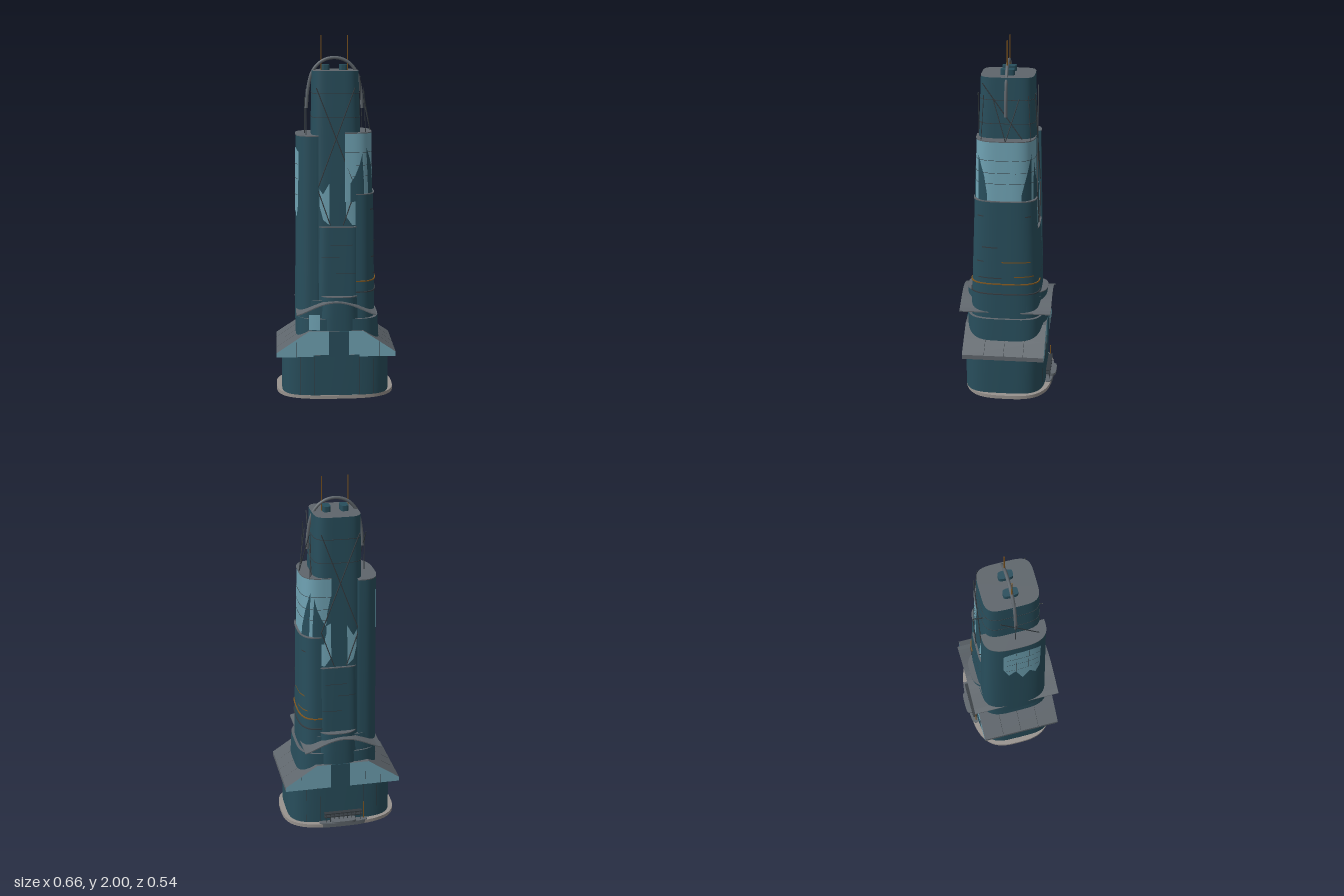
import * as THREE from 'three';

const mat = (name, color, side = THREE.FrontSide) => {
  const m = new THREE.MeshStandardMaterial({ color, side });
  m.name = name;
  return m;
};

export function createModel() {
  const root = new THREE.Group();
  root.name = 'tower';
  const teal = mat('dark teal cladding', 0x284e5c, THREE.DoubleSide);
  const glass = mat('pale glass', 0x6fa2b3, THREE.DoubleSide);
  const grey = mat('roof grey', 0x5e656b);
  const steel = mat('dark steel', 0x343b40);
  const bronze = mat('bronze', 0x80561f);
  const stone = mat('pale stone', 0x97928e);

  const add = (name, geo, m, x = 0, y = 0, z = 0) => {
    const mesh = new THREE.Mesh(geo, m);
    mesh.name = name;
    mesh.position.set(x, y, z);
    root.add(mesh);
    return mesh;
  };
  const box = (name, m, x0, x1, y0, y1, z0, z1) =>
    add(name, new THREE.BoxGeometry(x1 - x0, y1 - y0, z1 - z0), m, (x0 + x1) / 2, (y0 + y1) / 2, (z0 + z1) / 2);
  const rod = (name, a, b, r, m) => {
    const A = new THREE.Vector3(...a), d = new THREE.Vector3(...b).sub(A);
    const mesh = add(name, new THREE.CylinderGeometry(r, r, d.length(), 6), m);
    mesh.position.copy(A).addScaledVector(d, 0.5);
    mesh.quaternion.setFromUnitVectors(new THREE.Vector3(0, 1, 0), d.normalize());
  };
  const surface = (pos, idx) => {
    const g = new THREE.BufferGeometry();
    g.setAttribute('position', new THREE.Float32BufferAttribute(pos, 3));
    g.setIndex(idx);
    g.computeVertexNormals();
    return g;
  };

  // A shaft is a list of levels [y, x0, x1, z0, z1]; its plan is a rounded square of power n, cut off at x = lo and hi
  const SEG = 64;
  const plan = (n, lo = -1, hi = 1) => ({ n, lo, hi });
  const ring = ([y, x0, x1, z0, z1], { n, lo, hi }, grow = 0) => {
    const out = [];
    for (let i = 0; i < SEG; i++) {
      const t = (i / SEG) * Math.PI * 2, c = Math.cos(t), s = Math.sin(t);
      const x = (x0 + x1) / 2 + ((x1 - x0) / 2 + grow) * Math.sign(c) * Math.abs(c) ** (2 / n);
      const z = (z0 + z1) / 2 + ((z1 - z0) / 2 + grow) * Math.sign(s) * Math.abs(s) ** (2 / n);
      out.push(Math.min(hi, Math.max(lo, x)), y, z);
    }
    return out;
  };
  const sides = (levels, p, grow) => {
    const pos = levels.flatMap(l => ring(l, p, grow)), idx = [];
    for (let j = 0; j < levels.length - 1; j++) for (let i = 0; i < SEG; i++) {
      const a = j * SEG + i, b = j * SEG + (i + 1) % SEG;
      idx.push(a, a + SEG, b, b, a + SEG, b + SEG);
    }
    return surface(pos, idx);
  };
  const cap = (level, p, grow, up) => {
    const [y, x0, x1, z0, z1] = level, idx = [];
    const pos = [...ring(level, p, grow), (x0 + x1) / 2, y, (z0 + z1) / 2];
    for (let i = 0; i < SEG; i++) {
      const k = (i + 1) % SEG;
      idx.push(SEG, up ? k : i, up ? i : k);
    }
    return surface(pos, idx);
  };
  const levelAt = (levels, y) => {
    let j = 0;
    while (j < levels.length - 2 && y > levels[j + 1][0]) j++;
    const a = levels[j], b = levels[j + 1], t = (y - a[0]) / (b[0] - a[0]);
    return a.map((v, i) => v + (b[i] - v) * t);
  };
  const shaft = (name, levels, p, m, topMat = grey) => {
    add(name, sides(levels, p, 0), m);
    add(name + 'Top', cap(levels.at(-1), p, 0, true), topMat);
    return { levels, p };
  };
  // Thin floor line or ledge around a shaft
  const belt = (name, s, y, m, grow = 0.0025, h = 0.005) => {
    const l = levelAt(s.levels, y), lo = [y - h, ...l.slice(1)], hi = [y, ...l.slice(1)];
    add(name, sides([lo, hi], s.p, grow), m);
    add(name + 'Top', cap(hi, s.p, grow, true), m);
    add(name + 'Under', cap(lo, s.p, grow, false), m);
  };
  // Thin panel lying on a shaft face; columns are [u, yBottom, yTop]
  const panel = (name, s, axis, sign, cols, m, lift = 0.003) => {
    const pos = [], idx = [], R = 6, { n } = s.p;
    const flip = (axis === 'z') !== (sign > 0);
    const put = (u, y) => {
      const [, x0, x1, z0, z1] = levelAt(s.levels, y);
      const [p0, p1, q0, q1] = axis === 'z' ? [x0, x1, z0, z1] : [z0, z1, x0, x1];
      const k = Math.min(0.999, Math.abs((u - (p0 + p1) / 2) / ((p1 - p0) / 2)));
      const w = (q0 + q1) / 2 + sign * ((q1 - q0) / 2 * (1 - k ** n) ** (1 / n) + lift);
      pos.push(...(axis === 'z' ? [u, y, w] : [w, y, u]));
    };
    cols.forEach(([u, a, b], c) => {
      for (let r = 0; r <= R; r++) put(u, a + (b - a) * r / R);
      if (c) for (let r = 0; r < R; r++) {
        const i = (c - 1) * (R + 1) + r, k = i + R + 1;
        idx.push(...(flip ? [i, i + 1, k, k, i + 1, k + 1] : [i, k, i + 1, k, k + 1, i + 1]));
      }
    });
    add(name, surface(pos, idx), m);
  };
  // Horizontal strip from u = a to b
  const strip = (name, s, axis, sign, y, a, b, h, m, lift) =>
    panel(name, s, axis, sign, [0, 0.2, 0.4, 0.6, 0.8, 1].map(t => [a + (b - a) * t, y, y + h]), m, lift);

  // Plinth and podium
  const plinth = shaft('plinth', [[0, -0.33, 0.33, -0.25, 0.25], [0.02, -0.33, 0.33, -0.25, 0.25]], plan(3), stone, stone);
  add('plinthUnderside', cap(plinth.levels[0], plinth.p, 0, false), stone);
  const podium = shaft('podium', [[0.02, -0.3, 0.3, -0.215, 0.245], [0.25, -0.3, 0.3, -0.215, 0.245]], plan(4), teal);
  for (const u of [-0.2, -0.12, 0.13, 0.21]) for (const s of [-1, 1])
    panel('podiumMullion', podium, 'z', s, [[u - 0.001, 0.02, 0.24], [u + 0.001, 0.02, 0.24]], steel, 0.002);

  // Sloping canopy with glazed ends
  const gable = new THREE.Shape([[-0.33, 0.24], [0.33, 0.24], [0.33, 0.265], [0.24, 0.325], [0.15, 0.385],
    [-0.15, 0.385], [-0.24, 0.325], [-0.33, 0.265]].map(p => new THREE.Vector2(...p)));
  add('canopy', new THREE.ExtrudeGeometry(gable, { depth: 0.46, bevelEnabled: false }), [glass, grey], 0, 0, -0.217);
  for (const z of [-0.221, 0.243]) {
    box('canopyCentre', teal, -0.04, 0.07, 0.24, 0.385, z, z + 0.004);
    for (const x of [-0.22, -0.13, 0.15, 0.24]) box('canopyMullion', steel, x, x + 0.0015, 0.24, 0.325, z + 0.001, z + 0.003);
  }
  for (const s of [-1, 1]) for (const z of [-0.1, 0.01, 0.12])
    rod('canopySeam', [s * 0.328, 0.265, z], [s * 0.15, 0.384, z], 0.0015, steel);

  // Lower body and front and back bays
  const lower = shaft('lowerBody', [[0.25, -0.225, 0.25, -0.205, 0.238], [0.45, -0.215, 0.24, -0.2, 0.232]], plan(4), teal);
  panel('lowerWindow', lower, 'z', 1, [[-0.15, 0.39, 0.475], [-0.12, 0.39, 0.475], [-0.09, 0.39, 0.475]], glass, 0.005);
  shaft('midBody', [[0.44, -0.215, 0.222, -0.19, 0.215], [0.55, -0.215, 0.22, -0.185, 0.21]], plan(4), teal);
  const bay = shaft('bay', [[0.38, -0.13, 0.17, -0.218, 0.242], [0.575, -0.11, 0.15, -0.215, 0.24]], plan(3), teal);
  belt('bayLedge', bay, 0.577, grey);

  // Arched slab
  const N = 16, arc = [];
  for (let i = 0; i <= N; i++) {
    const x = -0.22 + 0.44 * i / N;
    arc.push(new THREE.Vector2(x, 0.485 + 0.07 * Math.max(0, Math.cos(x / 0.22 * Math.PI / 2)) ** 1.3));
  }
  const under = arc.map(p => new THREE.Vector2(p.x, p.y - 0.006)).reverse();
  add('archedSlab', new THREE.ExtrudeGeometry(new THREE.Shape([...arc, ...under]), { depth: 0.515, bevelEnabled: false }), grey, 0, 0, -0.245);

  // Stepped shafts
  const core = shaft('core', [[0.4, -0.14, 0.165, -0.175, 0.2], [1.2, -0.135, 0.15, -0.152, 0.178], [1.81, -0.125, 0.13, -0.135, 0.157]], plan(4.5), teal);
  const tall = shaft('tallShaft', [[0.4, -0.222, 0, -0.18, 0.205], [1.46, -0.216, 0, -0.16, 0.183]], plan(3, -1, -0.095), teal);
  const upper = shaft('glassShaft', [[1.1, -0.1, 0.21, -0.152, 0.188], [1.475, -0.1, 0.203, -0.145, 0.178]], plan(3.4, 0.05), glass);
  const side = shaft('sideShaft', [[0.4, 0, 0.225, -0.183, 0.212], [1.14, 0, 0.215, -0.155, 0.187]], plan(3, 0.11), teal);
  const middle = shaft('middleShaft', [[0.4, -0.11, 0.145, -0.19, 0.217], [0.96, -0.1, 0.14, -0.168, 0.198]], plan(6), teal);

  for (const y of [1.69, 1.56]) belt('coreLine', core, y, steel, 0.0015, 0.003);
  for (const y of [1.24, 1.3, 1.37]) belt('glassLine', upper, y, steel, 0.001, 0.002);
  belt('tallRim', tall, 1.462, grey, 0.002);
  belt('glassRim', upper, 1.477, grey, 0.002);
  belt('sideRim', side, 1.142, grey, 0.005);
  belt('middleRim', middle, 0.962, grey);

  // Jagged cladding and glazing
  panel('eastCladdingFront', upper, 'x', 1, [[0.11, 1.14, 1.18], [0.125, 1.14, 1.28], [0.14, 1.14, 1.33], [0.16, 1.14, 1.4]], teal);
  panel('eastCladdingBack', upper, 'x', 1, [[-0.13, 1.14, 1.4], [-0.11, 1.14, 1.3], [-0.08, 1.14, 1.18]], teal);
  for (const s of [-1, 1]) {
    panel('cornerCladding', upper, 'z', s, [[0.08, 1.1, 1.2], [0.105, 1.1, 1.24], [0.13, 1.1, 1.3], [0.145, 1.1, 1.36], [0.155, 1.1, 1.2]], teal);
    panel('coreGlazing', core, 'z', s, [[-0.09, 1.08, 1.17], [-0.07, 1.0, 1.14], [-0.035, 0.97, 1.2]], glass);
    panel('coreGlazingSide', core, 'z', s, [[0.055, 1.02, 1.22], [0.09, 0.97, 1.2], [0.115, 0.97, 1.24]], glass);
  }
  panel('westGlazing', tall, 'x', -1, [[-0.07, 1.16, 1.36], [-0.04, 1.05, 1.38], [0, 1.1, 1.39], [0.04, 0.97, 1.39], [0.08, 1.06, 1.39], [0.115, 1.0, 1.38], [0.14, 1.08, 1.37]], glass);
  for (const y of [1.13, 1.22, 1.3]) strip('westTransom', tall, 'x', -1, y, -0.06, 0.135, 0.003, steel, 0.005);
  for (const u of [0, 0.07]) panel('westMullion', tall, 'x', -1, [[u, 1.1, 1.39], [u + 0.002, 1.1, 1.39]], steel, 0.005);

  // Ledges and louvres on the lower shafts
  belt('sideLedge', side, 0.66, bronze, 0.006, 0.006);
  belt('sideLedge', side, 0.6, steel, 0.006, 0.006);
  for (const [y, a, b, m] of [[0.69, 0.03, 0.16, steel], [0.7, -0.15, -0.04, bronze], [0.785, -0.13, 0.03, bronze],
    [0.785, 0.13, 0.17, steel], [0.87, 0.05, 0.14, steel], [1.05, 0.13, 0.165, steel], [1.05, -0.13, -0.1, steel]])
    strip('louvre', side, 'x', 1, y, a, b, 0.006, m, 0.005);
  for (const s of [-1, 1]) for (const [y, a, b] of [[0.79, -0.08, 0.02], [0.7, 0, 0.11], [0.86, -0.03, 0.09]])
    strip('floorLine', middle, 'z', s, y, a, b, 0.003, steel, 0.003);

  // Diagonal braces on front, back and sides
  for (const s of [-1, 1]) {
    const z = y => s > 0 ? 0.18 - (y - 1.2) * 0.034 : -0.154 + (y - 1.2) * 0.028;
    const brace = (x0, y0, x1, y1) => rod('brace', [x0, y0, z(y0) + s * 0.003], [x1, y1, z(y1) + s * 0.003], 0.003, steel);
    brace(0.105, 1.72, -0.1, 1.17);
    brace(-0.105, 1.72, 0.11, 1.17);
    brace(-0.1, 1.17, -0.03, 0.97);
    brace(0.11, 1.17, 0.04, 0.97);
    rod('sideStrut', [0.155, 1.7, 0.01 + s * 0.07], [0.2, 1.475, 0.01], 0.0025, steel);
    rod('cornerRod', [0.155, 1.72, 0.01 + s * 0.12], [0.165, 1.47, 0.01 + s * 0.135], 0.002, steel);
  }
  rod('eastBrace', [0.134, 1.78, 0.14], [0.15, 1.4, -0.13], 0.003, steel);
  rod('westRod', [-0.16, 1.46, 0.14], [-0.155, 1.7, -0.07], 0.0025, steel);
  rod('westMast', [-0.165, 1.46, 0.01], [-0.165, 1.66, 0.01], 0.0025, steel);

  // Crown arch, rooftop units and masts
  const crown = new THREE.CatmullRomCurve3([[-0.155, 1.6], [-0.147, 1.7], [-0.122, 1.8], [-0.07, 1.858], [0, 1.878],
    [0.07, 1.858], [0.122, 1.8], [0.147, 1.7], [0.155, 1.6]].map(([x, y]) => new THREE.Vector3(x, y, 0.012)));
  add('crownArch', new THREE.TubeGeometry(crown, 40, 0.009, 8), grey);
  for (const s of [-1, 1]) {
    const x = s * 0.049;
    shaft('roofUnit', [[1.81, x - 0.022, x + 0.022, -0.028, 0.05], [1.84, x - 0.022, x + 0.022, -0.028, 0.05]], plan(4), teal, teal);
    rod('mast', [s * 0.073, 1.81, 0.012], [s * 0.073, 2, 0.012], 0.003, bronze);
  }

  // Back entrance
  shaft('entranceStep', [[0.0, -0.14, 0.14, -0.254, -0.2], [0.025, -0.14, 0.14, -0.254, -0.2]], plan(3), grey);
  shaft('entrancePorch', [[0.025, -0.07, 0.07, -0.27, -0.2], [0.04, -0.07, 0.07, -0.27, -0.2]], plan(4), grey);
  for (const y of [0.055, 0.075]) box('entranceRail', steel, -0.11, 0.11, y, y + 0.006, -0.24, -0.215);
  for (let i = 0; i < 9; i++) box('entrancePost', steel, -0.1 + i * 0.025, -0.097 + i * 0.025, 0.02, 0.078, -0.236, -0.232);
  rod('entranceLamp', [-0.12, 0.02, -0.225], [-0.12, 0.13, -0.225], 0.003, bronze);
  return root;
}
